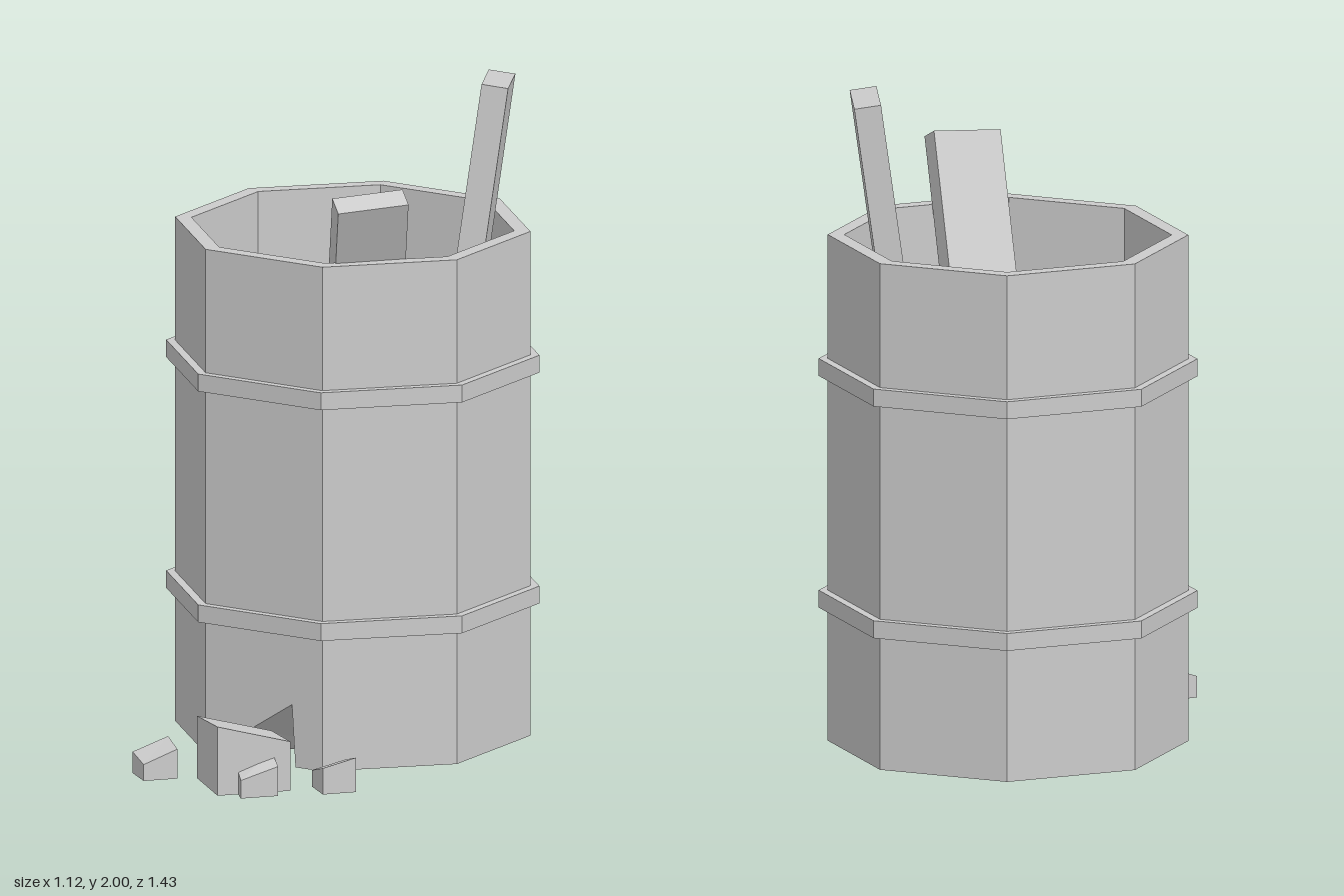
import * as THREE from 'three';

const material = new THREE.MeshStandardMaterial({ color: 0xcccccc, flatShading: true });
const thin = new THREE.MeshStandardMaterial({ color: 0xcccccc, flatShading: true, side: THREE.DoubleSide });
const SIDES = 8, R = 0.534, INNER = 0.485, BOTTOM = 0.01, TOP = 1.55, FLOOR = 0.41;

function add(parent, name, geometry, mat = material) {
  const mesh = new THREE.Mesh(geometry, mat);
  mesh.name = name;
  parent.add(mesh);
  return mesh;
}

const lathe = (points) =>
  new THREE.LatheGeometry(points.map(([r, y]) => new THREE.Vector2(r, y)), SIDES);

// Octagon corner k in plan (x, z)
const corner = (k) => {
  const t = (k * 2 * Math.PI) / SIDES;
  return new THREE.Vector2(R * Math.sin(t), R * Math.cos(t));
};

// Board running from its bottom centre to its top centre
function plank(parent, name, bottom, top, across, width, thickness) {
  const a = new THREE.Vector3(...bottom), b = new THREE.Vector3(...top);
  const axis = b.clone().sub(a), length = axis.length();
  axis.normalize();
  const x = new THREE.Vector3(...across);
  x.addScaledVector(axis, -x.dot(axis)).normalize();
  const z = new THREE.Vector3().crossVectors(x, axis);
  const geometry = new THREE.BoxGeometry(width, length, thickness);
  geometry.applyMatrix4(new THREE.Matrix4().makeBasis(x, axis, z).setPosition(a.add(b).multiplyScalar(0.5)));
  add(parent, name, geometry);
}

// Uneven block: four plan corners [x, z, height], clockwise from above
function chunk(parent, name, corners) {
  const geometry = new THREE.BoxGeometry(1, 1, 1);
  const p = geometry.attributes.position;
  for (let i = 0; i < p.count; i++) {
    const right = p.getX(i) > 0, front = p.getZ(i) > 0;
    const [x, z, h] = corners[front ? (right ? 2 : 3) : (right ? 1 : 0)];
    p.setXYZ(i, x, p.getY(i) > 0 ? h : 0, z);
  }
  geometry.computeVertexNormals();
  add(parent, name, geometry);
}

function createBarrel() {
  const barrel = new THREE.Group();
  barrel.name = 'barrel';
  barrel.position.z = -0.16;
  barrel.rotation.y = 0.068;

  // Seven whole outer panels
  const wall = new THREE.CylinderGeometry(R, R, TOP - BOTTOM, 7, 1, true, 0, (7 * Math.PI) / 4);
  wall.translate(0, (TOP + BOTTOM) / 2, 0);
  add(barrel, 'outerWall', wall);

  // Rim, inner wall and inner floor
  add(barrel, 'rimAndInside', lathe([[R, TOP], [INNER, TOP], [INNER, FLOOR], [0, FLOOR]]));

  // Broken opening: [fraction along the panel from its right corner, height]
  const hole = [[0.23, BOTTOM], [0.26, 0.2], [0.6, 0.11], [0.86, BOTTOM]];
  const half = R * Math.sin(Math.PI / 8);
  const panel = new THREE.Shape([
    [half, BOTTOM], [half, TOP], [-half, TOP], [-half, BOTTOM],
    ...hole.map(([f, y]) => [half - f * 2 * half, y]).reverse(),
  ].map(([x, y]) => new THREE.Vector2(x, y)));
  const panelGeometry = new THREE.ShapeGeometry(panel);
  panelGeometry.translate(0, 0, R * Math.cos(Math.PI / 8)).rotateY(-Math.PI / 8);
  add(barrel, 'brokenPanel', panelGeometry);

  // Underside with the same break cut into it
  const apex = new THREE.Vector2(-0.029, 0.213);
  const along = (f) => corner(0).lerp(corner(7), f);
  const outline = [];
  for (let k = 0; k < SIDES; k++) outline.push(corner(k));
  outline.push(along(0.86), apex, along(0.23));
  const base = new THREE.ShapeGeometry(new THREE.Shape(outline));
  base.rotateX(Math.PI / 2).translate(0, BOTTOM, 0);
  add(barrel, 'underside', base);

  // Faces inside the break, running back to one point
  const faces = [];
  for (let i = 0; i < hole.length - 1; i++) {
    const [p, q] = [hole[i], hole[i + 1]].map(([f, y]) => [along(f).x, y, along(f).y]);
    faces.push(apex.x, BOTTOM, apex.y, ...p, ...q);
  }
  const inside = new THREE.BufferGeometry();
  inside.setAttribute('position', new THREE.Float32BufferAttribute(faces, 3));
  inside.computeVertexNormals();
  add(barrel, 'breakInside', inside, thin);

  // Hoops
  for (const [name, y] of [['lowerHoop', 0.415], ['upperHoop', 1.12]]) {
    add(barrel, name, lathe([[0.52, y], [0.561, y], [0.561, y + 0.053], [0.52, y + 0.053]]));
  }
  return barrel;
}

export function createModel() {
  const model = new THREE.Group();
  model.name = 'brokenBarrel';
  model.add(createBarrel());

  // Boards standing in the barrel
  plank(model, 'leaningPlank', [-0.045, 0.35, -0.31], [0.17, 1.745, 0.32], [0.19, 0.012, -0.1], 0.215, 0.073);
  plank(model, 'uprightPlank', [0.205, 0.41, -0.19], [0.415, 1.988, -0.28], [0.03, 0.015, 0.21], 0.215, 0.08);

  // Rubble in front of the break
  chunk(model, 'largeRubble', [[-0.315, 0.5, 0.19], [-0.115, 0.39, 0.13], [-0.01, 0.585, 0.15], [-0.205, 0.695, 0.21]]);
  chunk(model, 'leftRubble', [[-0.515, 0.485, 0.065], [-0.42, 0.43, 0.105], [-0.37, 0.52, 0.09], [-0.46, 0.572, 0.05]]);
  chunk(model, 'rightRubble', [[0.04, 0.52, 0.05], [0.13, 0.465, 0.075], [0.183, 0.555, 0.105], [0.095, 0.607, 0.08]]);
  chunk(model, 'frontRubble', [[-0.163, 0.63, 0.075], [-0.07, 0.575, 0.115], [-0.03, 0.655, 0.09], [-0.13, 0.712, 0.055]]);
  return model;
}
